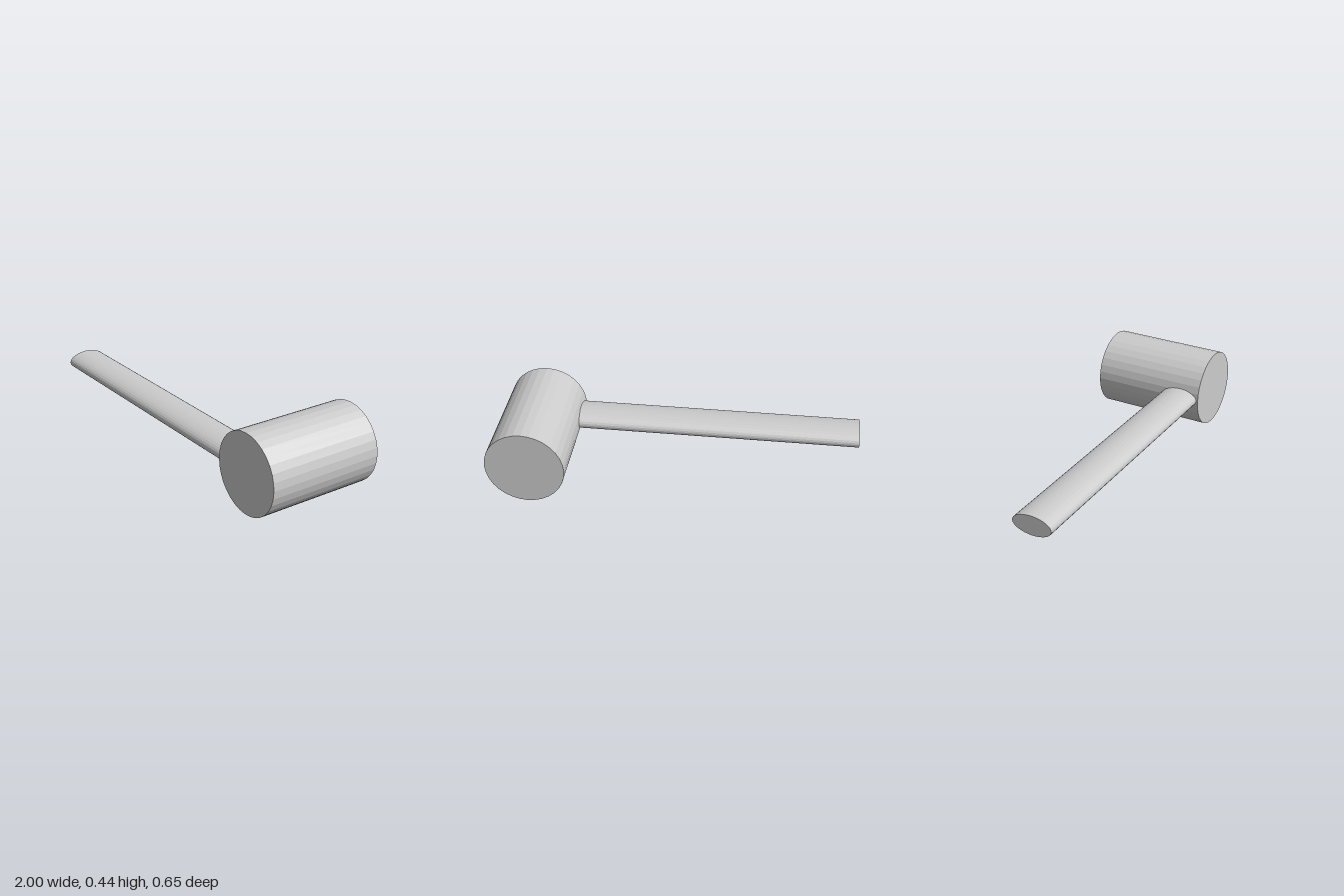
import * as THREE from 'three';

const SIDES = 32;
const AXIS_Y = 0.2175; // shared height of head and handle axes

export function createModel() {
  const model = new THREE.Group();
  model.name = 'mallet';
  const material = new THREE.MeshStandardMaterial({ color: 0xcccccc, flatShading: true });

  function addPart(name, geometry, x, z) {
    const mesh = new THREE.Mesh(geometry, material);
    mesh.name = name;
    mesh.position.set(x, AXIS_Y, z);
    model.add(mesh);
  }

  // Round head lying along z
  const head = new THREE.CylinderGeometry(0.2175, 0.2175, 0.652, SIDES);
  head.rotateX(Math.PI / 2);
  addPart('head', head, 0.7825, 0);

  // Flattened oval handle along x, set near the front of the head and sunk into it
  const start = -1, end = 0.64;
  const handle = new THREE.CylinderGeometry(1, 1, end - start, SIDES);
  handle.scale(0.0535, 1, 0.11);
  handle.rotateZ(Math.PI / 2);
  addPart('handle', handle, (start + end) / 2, 0.206);

  return model;
}
